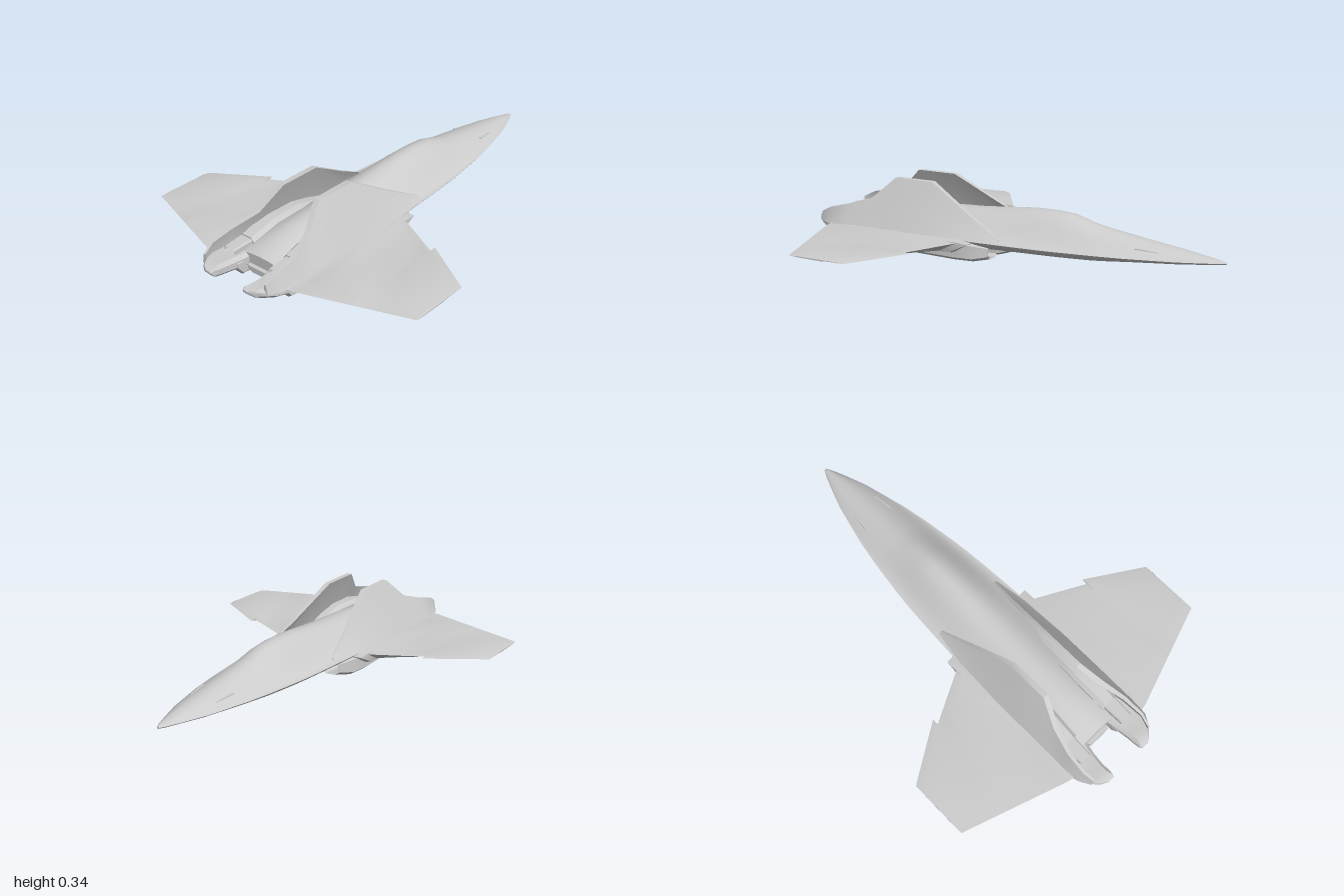
import * as THREE from 'three';
import { toCreasedNormals } from 'three/addons/utils/BufferGeometryUtils.js';

const grey = new THREE.MeshStandardMaterial({ color: 0xcccccc });
const greyOpen = new THREE.MeshStandardMaterial({ color: 0xcccccc, side: THREE.DoubleSide });

// Skin closed cross-sections (lists of [x, y, z]) into a solid; faces are turned outward by signed volume.
function loft(name, sections, { crease = 0.6, open = false } = {}) {
  const n = sections[0].length;
  const pts = sections.flat().map(p => new THREE.Vector3(...p));
  let tris = [];
  for (let i = 0; i < sections.length - 1; i++) {
    for (let j = 0; j < n; j++) {
      const a = i * n + j, b = i * n + (j + 1) % n;
      tris.push([a, b, b + n], [a, b + n, a + n]);
    }
  }
  const cap = (start, flip) => {
    const c = new THREE.Vector3();
    for (let j = 0; j < n; j++) c.addScaledVector(pts[start + j], 1 / n);
    const ci = pts.push(c) - 1;
    for (let j = 0; j < n; j++) {
      const a = start + j, b = start + (j + 1) % n;
      tris.push(flip ? [ci, b, a] : [ci, a, b]);
    }
  };
  if (!open) cap(0, true);
  cap((sections.length - 1) * n, false);
  let volume = 0;
  for (const [a, b, c] of tris) volume += pts[a].dot(new THREE.Vector3().crossVectors(pts[b], pts[c]));
  if (volume < 0) tris = tris.map(([a, b, c]) => [a, c, b]);
  const g = new THREE.BufferGeometry().setFromPoints(pts);
  g.setIndex(tris.flat());
  const mesh = new THREE.Mesh(toCreasedNormals(g, crease), open ? greyOpen : grey);
  mesh.name = name;
  return mesh;
}

// Blended body with sharp chines: x, half width, chine y, top y, bottom y, upper shape power
function fuselage() {
  const stations = [
    [1, 0.006, 0.113, 0.118, 0.108, 0.8], [0.97, 0.022, 0.113, 0.124, 0.103, 0.8],
    [0.9, 0.05, 0.113, 0.134, 0.097, 0.9], [0.8, 0.086, 0.113, 0.148, 0.088, 1],
    [0.6, 0.136, 0.113, 0.176, 0.073, 1.3], [0.47, 0.16, 0.113, 0.197, 0.06, 1.5],
    [0.4, 0.17, 0.113, 0.212, 0.055, 1.7], [0.3, 0.184, 0.113, 0.243, 0.052, 2],
    [0.22, 0.193, 0.113, 0.25, 0.05, 2.1], [0.1, 0.202, 0.113, 0.249, 0.048, 2.1],
    [-0.02, 0.209, 0.113, 0.238, 0.045, 2.1], [-0.16, 0.216, 0.113, 0.224, 0.04, 2],
    [-0.4, 0.21, 0.113, 0.214, 0.035, 2], [-0.6, 0.2, 0.113, 0.197, 0.04, 1.8],
    [-0.72, 0.19, 0.113, 0.17, 0.05, 1.6], [-0.81, 0.17, 0.113, 0.135, 0.075, 1.2]
  ];
  const m = 24;
  return loft('fuselage', stations.map(([x, w, yc, yt, yb, p]) => {
    const ring = [];
    for (let k = 0; k < 2 * m; k++) {
      const s = Math.cos(k * Math.PI / m);
      const h = Math.max(0, 1 - s * s);
      const y = k < m ? yc + (yt - yc) * h ** p : yc - (yc - yb) * h ** 0.8;
      ring.push([x, y, w * s]);
    }
    return ring;
  }));
}

// Wing with stepped leading edge: z, leading x, top y, bottom y
function wing(side) {
  const stations = [
    [0.15, -0.09, 0.125, 0.04], [0.215, -0.11, 0.117, 0.045], [0.25, -0.11, 0.115, 0.056],
    [0.251, -0.17, 0.115, 0.056], [0.36, -0.227, 0.115, 0.07], [0.48, -0.29, 0.115, 0.083],
    [0.481, -0.26, 0.115, 0.083], [0.6, -0.335, 0.114, 0.094], [0.73, -0.417, 0.113, 0.1], [0.74, -0.425, 0.11, 0.103]
  ];
  return loft('wing', stations.map(([z, lead, top, bottom]) => {
    const trail = z < 0.23 ? -0.88 : -0.88 + (z - 0.23) * 0.335;
    const x = t => lead + (trail - lead) * t;
    const mid = Math.min(0.108, top - 0.003);
    return [[x(0), mid, z], [x(0.08), top - 0.002, z], [x(0.35), top, z], [x(0.8), top - 0.001, z], [x(1), mid, z],
      [x(0.85), bottom + (mid - bottom) * 0.35, z], [x(0.45), bottom, z], [x(0.12), bottom + 0.008, z]]
      .map(([a, b, c]) => [a, b, c * side]);
  }));
}

// Inward-leaning fin that runs aft into a shield beside the exhaust: x, top y, top z, base z, thickness
function fin(side) {
  const stations = [
    [0.01, 0.128, 0.17, 0.19, 0.008], [-0.15, 0.213, 0.14, 0.203, 0.018], [-0.37, 0.34, 0.1, 0.208, 0.026],
    [-0.57, 0.34, 0.1, 0.208, 0.026], [-0.68, 0.24, 0.142, 0.208, 0.026], [-0.8, 0.203, 0.176, 0.212, 0.018],
    [-0.9, 0.178, 0.185, 0.21, 0.012], [-0.955, 0.15, 0.174, 0.18, 0.01]
  ];
  return loft('fin', stations.map(([x, yt, zt, zb, t]) => {
    const yb = 0.108, q = 0.45;
    return [[x, yt, zt - t / 2], [x, yt, zt + t / 2],
      [x, yb + (yt - yb) * q, zb + (zt - zb) * q + t * 0.6], [x, yb, zb + t * 0.7],
      [x, yb, zb - t * 1.6], [x, yb + (yt - yb) * q, zb + (zt - zb) * q - t * 0.9]]
      .map(([a, b, c]) => [a, b, c * side]);
  }));
}

// Flat keel between the ducts: x, half width, bottom y
function keel() {
  const stations = [[0.03, 0.04, 0.045], [-0.04, 0.065, 0.024], [-0.11, 0.08, 0.005],
    [-0.4, 0.08, 0.012], [-0.78, 0.07, 0.025], [-0.83, 0.055, 0.06]];
  return loft('keel', stations.map(([x, w, yb]) => [[x, 0.085, -w], [x, yb + 0.012, -w], [x, yb, -w * 0.6], [x, yb - 0.001, 0],
    [x, yb, w * 0.6], [x, yb + 0.012, w], [x, 0.085, w]]));
}

// Rounded-box section between inner and outer z
const boxRing = (x, z0, z1, yb, yt, side, r = 0.012) => [
  [x, yt, z0 + r], [x, yt, z1 - r], [x, yt - r, z1], [x, yb + r * 1.6, z1],
  [x, yb + r * 0.4, z1 - r * 1.6], [x, yb, z0 + r], [x, yb + r, z0], [x, yt - r, z0]
].map(([a, b, c]) => [a, b, c * side]);

// Engine duct: the first two sections form the hollow intake mouth
function duct(side) {
  const outer = [[-0.05, 0.085, 0.17, 0.02, 0.09], [-0.11, 0.085, 0.212, 0.013, 0.105], [-0.2, 0.085, 0.225, 0.014, 0.108],
    [-0.5, 0.085, 0.225, 0.02, 0.108], [-0.76, 0.075, 0.215, 0.027, 0.11], [-0.84, 0.07, 0.205, 0.035, 0.11],
    [-0.87, 0.075, 0.2, 0.07, 0.11]];
  const g = new THREE.Group();
  g.name = 'engineDuct';
  g.add(loft('ductShell', outer.map(o => boxRing(...o, side)), { open: true }));
  g.add(loft('intakeThroat', [boxRing(-0.05, 0.09, 0.165, 0.025, 0.085, side),
    boxRing(-0.15, 0.1, 0.16, 0.025, 0.085, side)], { open: true }));
  return g;
}

// Exhaust deck with swept, rounded end: x, inner z, outer z, bottom y, top y
function exhaustDeck(side) {
  const stations = [[-0.72, 0.05, 0.21, 0.06, 0.13], [-0.81, 0.066, 0.215, 0.062, 0.128], [-0.87, 0.078, 0.222, 0.066, 0.125],
    [-0.92, 0.084, 0.205, 0.07, 0.126], [-0.96, 0.085, 0.176, 0.077, 0.13], [-0.985, 0.087, 0.15, 0.092, 0.126],
    [-1, 0.093, 0.125, 0.107, 0.119]];
  return loft('exhaustDeck', stations.map((s, i) => boxRing(...s, side, i > 4 ? 0.005 : 0.015)));
}

// Engine hump ending in an open rectangular nozzle
function nozzle(side) {
  const g = new THREE.Group();
  g.name = 'nozzle';
  g.add(loft('engineHump', [[-0.3, 0.1, 0.16, 0.11, 0.15], [-0.48, 0.085, 0.175, 0.11, 0.2],
    [-0.62, 0.08, 0.175, 0.11, 0.2], [-0.76, 0.085, 0.17, 0.11, 0.165]].map(s => boxRing(...s, side, 0.018))));
  g.add(loft('nozzleDuct', [[-0.86, 0.1, 0.16, 0.12, 0.152], [-0.74, 0.095, 0.165, 0.12, 0.16]]
    .map(s => boxRing(...s, side, 0.006)), { open: true }));
  return g;
}

// Small wedge sensor on the nose
function noseSensor(side) {
  return loft('noseSensor', [boxRing(0.72, 0.064, 0.07, 0.136, 0.14, side, 0.001),
    boxRing(0.62, 0.07, 0.084, 0.13, 0.15, side, 0.002)]);
}

export function createModel() {
  const model = new THREE.Group();
  model.name = 'jetAircraft';
  model.add(fuselage(), keel());
  for (const side of [1, -1]) {
    const half = new THREE.Group();
    half.name = side > 0 ? 'leftHalf' : 'rightHalf';
    half.add(wing(side), fin(side), duct(side), exhaustDeck(side), nozzle(side), noseSensor(side));
    model.add(half);
  }
  return model;
}
